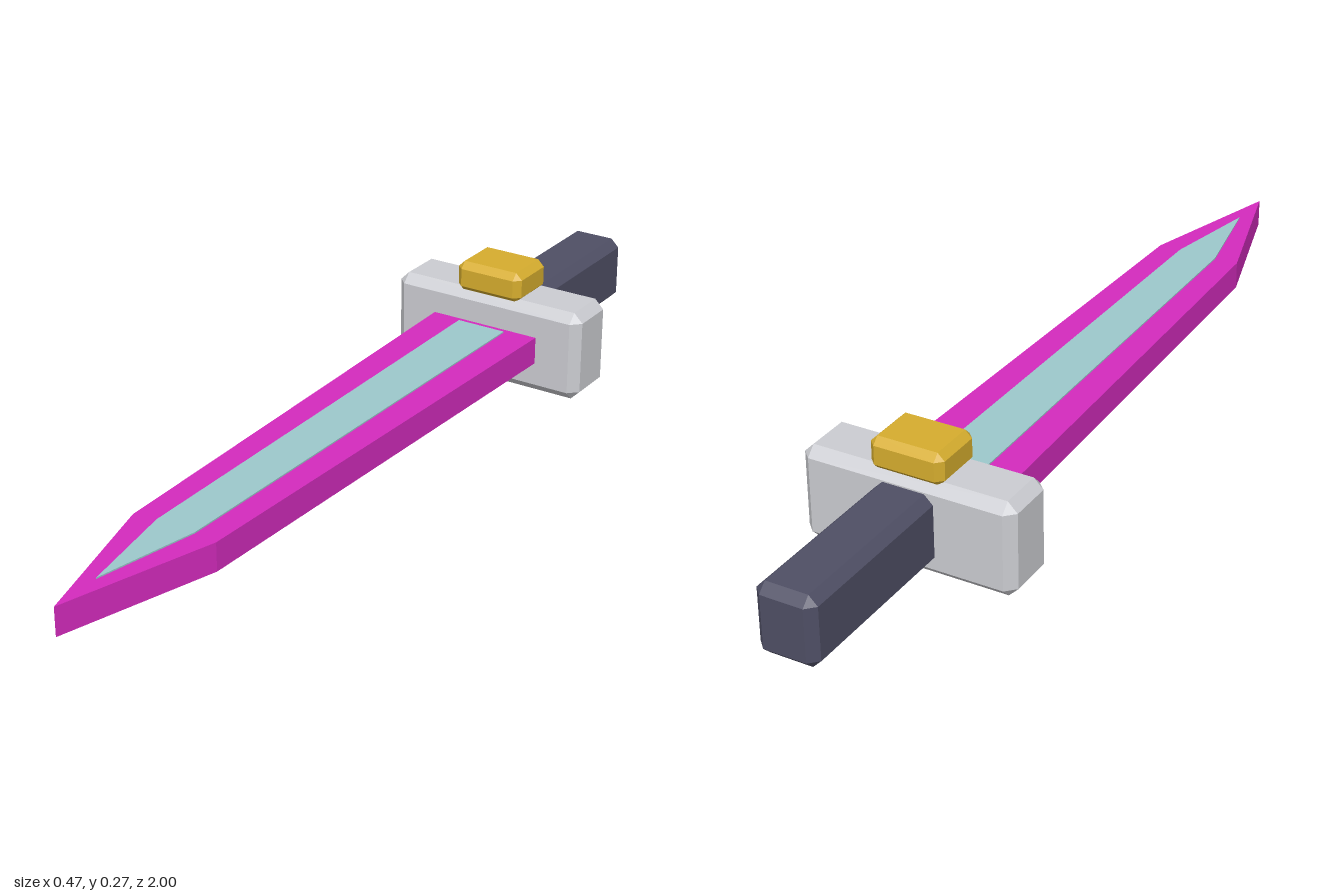
import * as THREE from 'three';
import { ConvexGeometry } from 'three/addons/geometries/ConvexGeometry.js';

const paint = (name, color) => {
  const m = new THREE.MeshStandardMaterial({ color });
  m.name = name;
  return m;
};

// Box between two corners with flat chamfers on every edge and corner
function chamferBox(min, max, bevel) {
  const c = min.map((v, i) => (v + max[i]) / 2);
  const h = max.map((v, i) => (v - min[i]) / 2);
  const points = [];
  for (const sx of [-1, 1]) for (const sy of [-1, 1]) for (const sz of [-1, 1]) {
    const s = [sx, sy, sz];
    for (let axis = 0; axis < 3; axis++) {
      points.push(new THREE.Vector3(
        ...s.map((d, i) => c[i] + d * (h[i] - (i === axis ? 0 : bevel)))));
    }
  }
  return new ConvexGeometry(points);
}

// Pointed blade outline lying flat, extruded upward from y0 to y1
function bladeSlab(rootZ, rootHalf, shoulderZ, shoulderHalf, tipZ, y0, y1) {
  const shape = new THREE.Shape([
    [rootHalf, rootZ], [-rootHalf, rootZ],
    [-shoulderHalf, shoulderZ], [0, tipZ], [shoulderHalf, shoulderZ],
  ].map(([x, z]) => new THREE.Vector2(x, -z)));
  return new THREE.ExtrudeGeometry(shape, { depth: y1 - y0, bevelEnabled: false })
    .rotateX(-Math.PI / 2).translate(0, y0, 0);
}

export function createModel() {
  const group = new THREE.Group();
  group.name = 'sword';
  const add = (name, geometry, material) => {
    const mesh = new THREE.Mesh(geometry, material);
    mesh.name = name;
    group.add(mesh);
  };

  // Blade with a slightly proud core showing on both flats
  add('blade', bladeSlab(-0.467, 0.131, 0.66, 0.098, 1, 0.073, 0.135), paint('magenta', 0xd42bbe));
  add('bladeCore', bladeSlab(-0.452, 0.058, 0.655, 0.045, 0.885, 0.07, 0.138), paint('pale teal', 0x9cc8cc));

  // Crossguard, its raised stud and the grip
  add('guard', chamferBox([-0.235, 0, -0.605], [0.235, 0.207, -0.467], 0.021), paint('light grey', 0xcccdd2));
  add('guardStud', chamferBox([-0.081, 0.197, -0.6], [0.081, 0.268, -0.472], 0.015), paint('gold', 0xd6ad2e));
  add('grip', chamferBox([-0.065, 0.03, -1], [0.065, 0.183, -0.58], 0.019), paint('dark slate', 0x4f4f65));

  return group;
}
